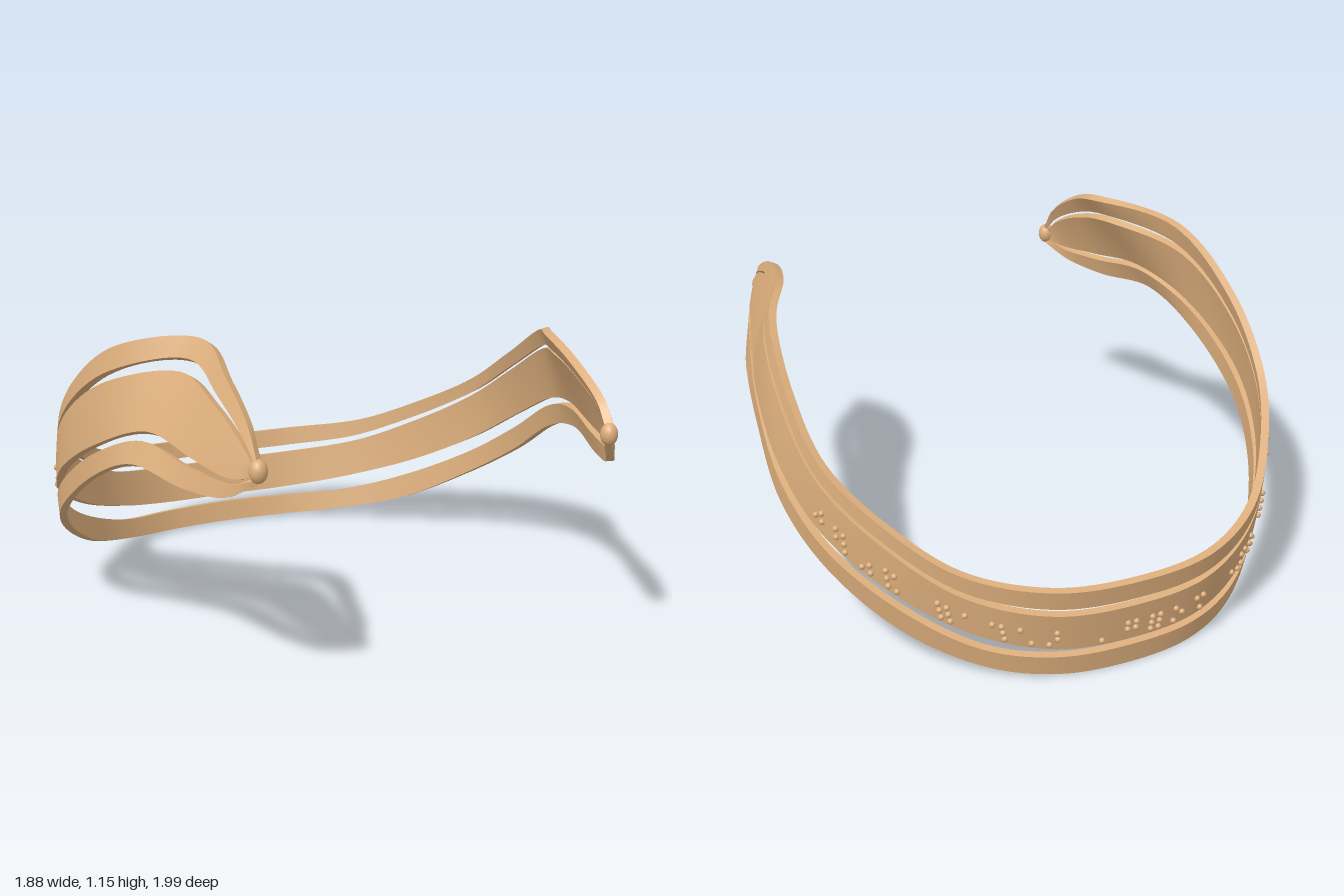
import * as THREE from 'three';
import { toCreasedNormals } from 'three/addons/utils/BufferGeometryUtils.js';

// Cross-sections from the left tip to the middle of the back:
// [bottom x, z, top x, z, then the lower and upper height of each of the three bands]
const leftSide = [
  [0.65, 0.97, 0.65, 0.97, 0.77, 0.785, 0.79, 0.825, 0.83, 0.845],
  [0.71, 0.9, 0.66, 0.9, 0.69, 0.74, 0.77, 0.88, 0.885, 0.91],
  [0.79, 0.7, 0.675, 0.7, 0.665, 0.735, 0.775, 0.95, 0.957, 1.0],
  [0.865, 0.45, 0.73, 0.45, 0.68, 0.75, 0.78, 0.965, 0.98, 1.035],
  [0.915, 0.2, 0.845, 0.2, 0.61, 0.69, 0.72, 0.915, 0.93, 0.99],
  [0.935, -0.1, 0.89, -0.1, 0.43, 0.52, 0.575, 0.76, 0.775, 0.83],
  [0.86, -0.35, 0.87, -0.35, 0.27, 0.36, 0.42, 0.6, 0.615, 0.67],
  [0.68, -0.6, 0.735, -0.6, 0.11, 0.21, 0.27, 0.44, 0.46, 0.52],
  [0.46, -0.8, 0.56, -0.8, 0.03, 0.11, 0.17, 0.32, 0.345, 0.41],
  [0.25, -0.9, 0.3, -0.955, 0.005, 0.083, 0.12, 0.265, 0.295, 0.365],
  [0, -0.93, 0, -0.995, 0, 0.08, 0.11, 0.255, 0.285, 0.355],
];
// The right arm rises higher and flares inward; the rest mirrors the left
const rightArm = [
  [0.615, 0.95, 0.615, 0.95, 0.79, 0.805, 0.815, 0.85, 0.855, 0.87],
  [0.69, 0.88, 0.615, 0.88, 0.74, 0.78, 0.8, 0.91, 0.925, 0.96],
  [0.765, 0.7, 0.615, 0.7, 0.725, 0.79, 0.82, 0.99, 1.015, 1.07],
  [0.85, 0.45, 0.605, 0.46, 0.745, 0.82, 0.85, 1.04, 1.08, 1.145],
  [0.91, 0.2, 0.81, 0.2, 0.64, 0.72, 0.75, 0.965, 1.0, 1.085],
  [0.94, -0.1, 0.885, -0.1, 0.44, 0.53, 0.585, 0.79, 0.815, 0.89],
];
const mirror = ([bx, bz, tx, tz, ...ys]) => [-bx, bz, -tx, tz, ...ys];
const stations = [
  ...leftSide,
  ...leftSide.slice(rightArm.length, -1).reverse().map(mirror),
  ...rightArm.slice().reverse().map(mirror),
];
const THICKNESS = 0.028;
const SEGMENTS = 160;

// Lengthwise curve at fraction v of a band's height
function lengthCurve(band, v) {
  return new THREE.CatmullRomCurve3(stations.map(([bx, bz, tx, tz, ...ys]) => {
    const y = THREE.MathUtils.lerp(ys[band * 2], ys[band * 2 + 1], v);
    const f = (y - ys[0]) / (ys[5] - ys[0]);
    const bulge = 1 + 0.018 * Math.sin(Math.PI * f);
    return new THREE.Vector3(
      THREE.MathUtils.lerp(bx, tx, f) * bulge, y, THREE.MathUtils.lerp(bz, tz, f));
  }));
}

// Outward normal across a band
function outward(curves, t) {
  const across = curves[curves.length - 1].getPoint(t).sub(curves[0].getPoint(t));
  return curves[1].getTangent(t).cross(across).normalize();
}

// Curved strip with thickness and closed ends
function bandGeometry(curves) {
  const positions = [], index = [];
  const ring = curves.length * 2;
  for (let i = 0; i <= SEGMENTS; i++) {
    const t = i / SEGMENTS;
    const n = outward(curves, t);
    const outer = curves.map((c) => c.getPoint(t));
    const inner = outer.map((p) => p.clone().addScaledVector(n, -THICKNESS)).reverse();
    for (const p of [...outer, ...inner]) positions.push(p.x, p.y, p.z);
    if (i === SEGMENTS) break;
    for (let j = 0; j < ring; j++) {
      const a = i * ring + j, b = i * ring + (j + 1) % ring;
      index.push(a, a + ring, b, a + ring, b + ring, b);
    }
  }
  const last = SEGMENTS * ring;
  for (let j = 1; j < ring - 1; j++) {
    index.push(0, j, j + 1, last, last + j + 1, last + j);
  }
  const geometry = new THREE.BufferGeometry();
  geometry.setAttribute('position', new THREE.Float32BufferAttribute(positions, 3));
  geometry.setIndex(index);
  return toCreasedNormals(geometry, Math.PI / 4);
}

export function createModel() {
  const model = new THREE.Group();
  model.name = 'openCuff';
  const material = new THREE.MeshStandardMaterial({ color: 0xdcae7c });
  const add = (geometry, name, parent = model) => {
    const mesh = new THREE.Mesh(geometry, material);
    mesh.name = name;
    parent.add(mesh);
    return mesh;
  };

  // Three bands side by side
  const bands = [0, 1, 2].map((b) => [0, 0.5, 1].map((v) => lengthCurve(b, v)));
  ['lowerBand', 'middleBand', 'upperBand'].forEach((name, b) => add(bandGeometry(bands[b]), name));

  // Rounded knobs where the bands meet
  [['leftTip', 0, 0.64, 0.965], ['rightTip', 1, -0.608, 0.945]].forEach(([name, t, x, z]) => {
    const knob = add(new THREE.SphereGeometry(0.03, 20, 14), name);
    knob.position.set(x, bands[1][1].getPoint(t).y, z);
    knob.scale.y = 1.3;
  });

  // Raised dots in two-by-three cells on the outside of the middle band
  const dots = new THREE.Group();
  dots.name = 'raisedDots';
  model.add(dots);
  let seed = 7;
  const random = () => (seed = (seed * 16807) % 2147483647) / 2147483647;
  const dotGeometry = new THREE.SphereGeometry(0.011, 10, 8);
  const rows = [0.15, 0.33, 0.51].map((v) => lengthCurve(1, v));
  for (let cell = 0; cell < 25; cell++) {
    if (cell % 6 === 4) continue; // gap between groups
    for (let col = 0; col < 2; col++) {
      const t = (5.95 + cell * 0.33 + col * 0.11) / (stations.length - 1);
      const n = outward(bands[1], t);
      for (const row of rows) {
        if (random() < 0.45) continue;
        add(dotGeometry, 'dot', dots).position.copy(row.getPoint(t)).addScaledVector(n, 0.003);
      }
    }
  }
  return model;
}
